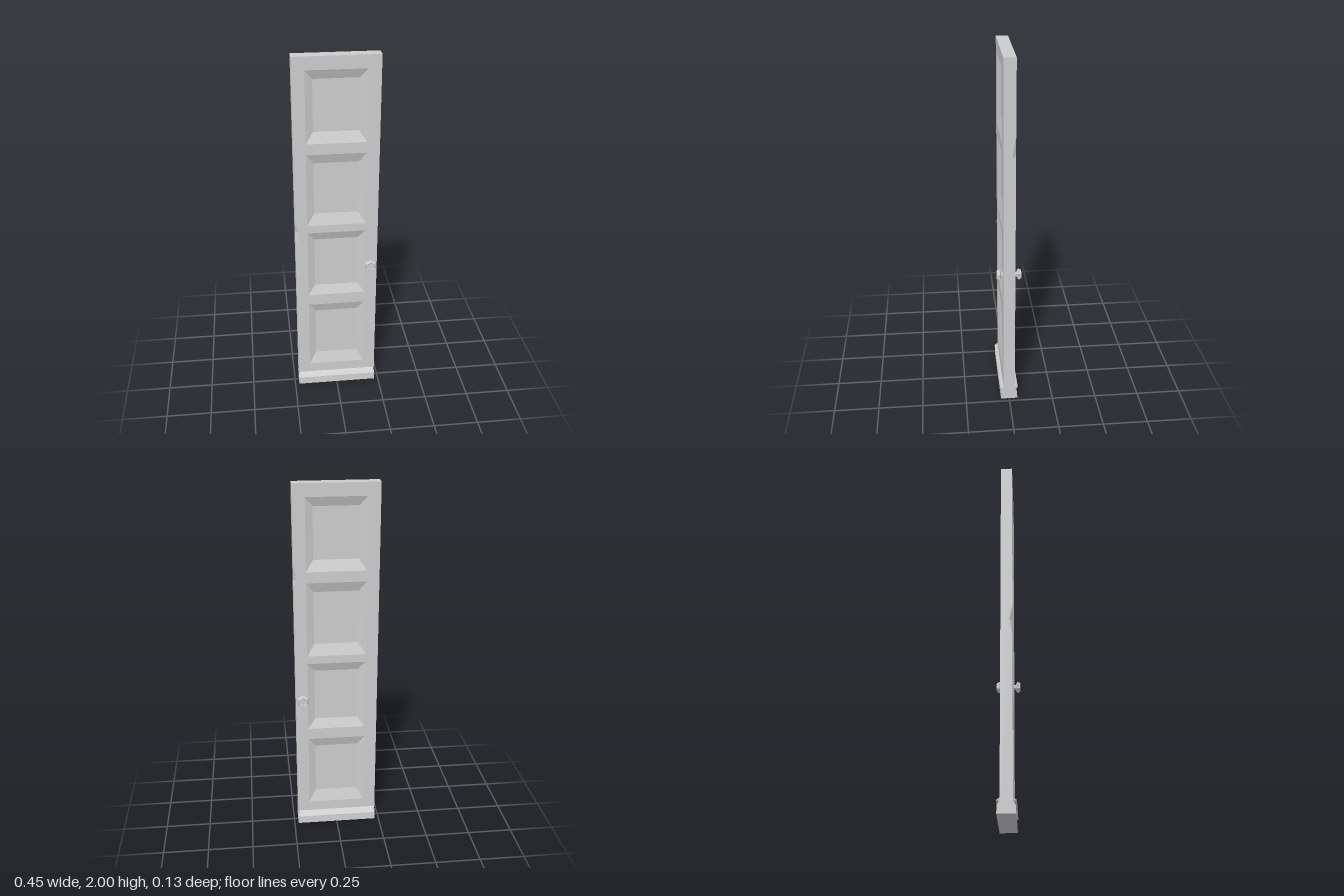
import * as THREE from 'three';

const W = 0.227, T = 0.032, H = 2, DEPTH = 0.02;
const material = new THREE.MeshStandardMaterial({ color: 0xcccccc, flatShading: true });

function mesh(name, geometry) {
  const m = new THREE.Mesh(geometry, material);
  m.name = name;
  return m;
}

// Flat-sided surface from polygons whose corners run anticlockwise seen from outside
function facets(polygons) {
  const pos = [];
  for (const p of polygons)
    for (let i = 1; i < p.length - 1; i++) pos.push(...p[0], ...p[i], ...p[i + 1]);
  const g = new THREE.BufferGeometry();
  g.setAttribute('position', new THREE.Float32BufferAttribute(pos, 3));
  g.computeVertexNormals();
  return g;
}

const outline = pts => new THREE.Shape(pts.map(([x, y]) => new THREE.Vector2(x, y)));
const rect = (x, y0, y1, z) => [[-x, y0, z], [x, y0, z], [x, y1, z], [-x, y1, z]];

// Recessed panels: outer bottom, inner bottom, inner top, outer top
const PANELS = [
  [0.135, 0.205, 0.5, 0.555],
  [0.62, 0.675, 0.97, 1.02],
  [1.065, 1.13, 1.425, 1.48],
  [1.54, 1.6, 1.88, 1.93],
];

// One face of the door with the edge wall on its -x side and a chip in their shared edge
function doorSide(name, [low, mid, high], chipX, chipZ) {
  const side = new THREE.Group();
  side.name = name;

  const face = outline([[-W, 0], [W, 0], [W, H], [-W, H], [-W, high], [-W + chipX, mid], [-W, low]]);
  for (const [y0, , , y1] of PANELS)
    face.holes.push(new THREE.Path(rect(0.16, y0, y1, 0).reverse().map(p => new THREE.Vector2(p[0], p[1]))));
  side.add(mesh('doorFace', new THREE.ShapeGeometry(face).translate(0, 0, T)));

  const wall = outline([[-T, 0], [T, 0], [T, low], [T - chipZ, mid], [T, high], [T, H], [-T, H]]);
  side.add(mesh('doorEdge', new THREE.ShapeGeometry(wall).rotateY(-Math.PI / 2).translate(-W, 0, 0)));

  const bottom = [-W, low, T], top = [-W, high, T];
  const onFace = [-W + chipX, mid, T], onEdge = [-W, mid, T - chipZ];
  side.add(mesh('edgeChip', facets([[bottom, onFace, onEdge], [top, onEdge, onFace]])));

  for (const [y0, y1, y2, y3] of PANELS) {
    const o = rect(0.16, y0, y3, T), i = rect(0.12, y1, y2, T - DEPTH);
    const bevels = o.map((p, k) => [p, o[(k + 1) % 4], i[(k + 1) % 4], i[k]]);
    side.add(mesh('recessedPanel', facets([...bevels, i])));
  }

  // Pointed moulding with tapered ends above the kick plate
  const a = [-W, 0.06, T], b = [W, 0.06, T], c = [W - 0.012, 0.068, 0.051], d = [-W + 0.012, 0.068, 0.051];
  const e = [-W, 0.077, T], f = [W, 0.077, T];
  side.add(mesh('moulding', facets([[a, b, c, d], [d, c, f, e], [a, d, e], [b, f, c]])));

  return side;
}

// Six-sided knob on a flared neck
function knob() {
  const profile = [[0.014, 0.03], [0.014, 0.04], [0.035, 0.05], [0.026, 0.066], [0.019, 0.064], [0, 0.064]];
  const g = new THREE.LatheGeometry(profile.map(([r, y]) => new THREE.Vector2(r, y)), 6);
  return mesh('knob', g.rotateX(Math.PI / 2).translate(0, 0.805, 0));
}

export function createModel() {
  const door = new THREE.Group();
  door.name = 'door';

  const front = doorSide('frontSide', [0.93, 1.03, 1.11], 0.021, 0.016);
  const back = doorSide('backSide', [1.455, 1.495, 1.62], 0.016, 0.018);
  back.rotation.y = Math.PI;
  door.add(front, back);

  door.add(mesh('topEdge', new THREE.PlaneGeometry(2 * W, 2 * T).rotateX(-Math.PI / 2).translate(0, H, 0)));

  // Flared kick plate across the bottom
  const half = [[0.048, 0], [0.045, 0.043], [T, 0.064]];
  const kick = outline([...half, ...half.map(([z, y]) => [-z, y]).reverse()]);
  const plate = new THREE.ExtrudeGeometry(kick, { depth: 2 * W, bevelEnabled: false });
  door.add(mesh('kickPlate', plate.rotateY(-Math.PI / 2).translate(W, 0, 0)));

  // Knobs on both sides, near the +x edge
  for (const turn of [0, Math.PI]) {
    const k = knob();
    k.rotation.y = turn;
    k.position.x = 0.188;
    door.add(k);
  }
  return door;
}
